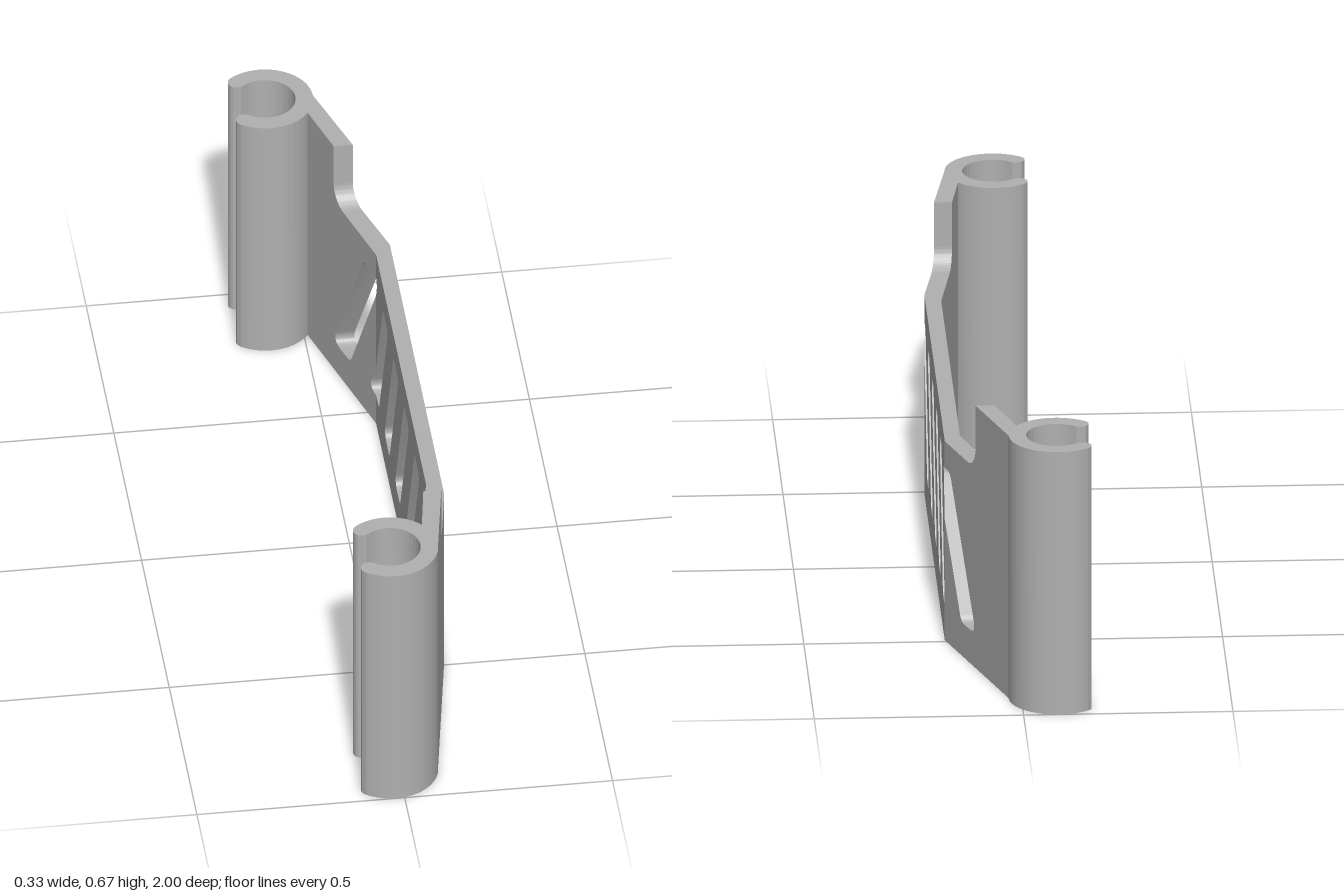
import * as THREE from 'three';
import { toCreasedNormals } from 'three/addons/utils/BufferGeometryUtils.js';

const HEIGHT = 0.67;

// Wall faces in plan: flat in the middle, bent towards -x at both ends
const outerX = z => 0.163 - 0.17 * Math.max(0, z - 0.49) - 0.337 * Math.max(0, -z - 0.49);
const innerX = z => 0.125 - 0.16 * Math.max(0, z - 0.445) - 0.32 * Math.max(0, -z - 0.455);
const BENDS = [-0.49, -0.455, 0.445, 0.49];

// Slanted slot with rounded corners; u runs along -z
function slot(offset) {
  const corners = [[-0.52, 0.44], [-0.358, 0.085], [-0.267, 0.085], [-0.428, 0.44]]
    .map(([u, v]) => new THREE.Vector2(u + offset, v));
  const cut = [0.04, 0.017, 0.04, 0.017];
  const path = new THREE.Path();
  corners.forEach((c, i) => {
    const toward = p => p.clone().sub(c).setLength(cut[i]).add(c);
    const a = toward(corners[(i + 3) % 4]), b = toward(corners[(i + 1) % 4]);
    if (i) path.lineTo(a.x, a.y); else path.moveTo(a.x, a.y);
    path.quadraticCurveTo(c.x, c.y, b.x, b.y);
  });
  path.closePath();
  return path;
}

// Cut triangles along the vertical line u = value so the wall can fold there
function splitAt(triangles, value) {
  const result = [];
  for (const tri of triangles) {
    for (const side of [1, -1]) {
      const poly = [];
      tri.forEach((p, i) => {
        const q = tri[(i + 1) % 3];
        const dp = (p.x - value) * side, dq = (q.x - value) * side;
        if (dp >= 0) poly.push(p);
        if (dp * dq < 0) {
          // always interpolate from the same end so shared edges match
          const [s, e] = p.x < q.x ? [p, q] : [q, p];
          poly.push(s.clone().lerp(e, (value - s.x) / (e.x - s.x)).setX(value));
        }
      });
      if (poly.every(p => p.x === value)) continue;
      for (let i = 1; i + 1 < poly.length; i++) result.push([poly[0], poly[i], poly[i + 1]]);
    }
  }
  return result;
}

function wallGeometry() {
  // Side outline with a lowered, filleted middle
  const low = 0.508, notch = 0.68, r = 0.05;
  const shape = new THREE.Shape();
  shape.moveTo(-0.89, 0);
  shape.lineTo(0.885, 0);
  shape.lineTo(0.885, HEIGHT);
  shape.lineTo(notch, HEIGHT);
  shape.lineTo(notch, low + r);
  shape.absarc(notch - r, low + r, r, 0, -Math.PI / 2, true);
  shape.lineTo(-notch + r, low);
  shape.absarc(-notch + r, low + r, r, -Math.PI / 2, -Math.PI, true);
  shape.lineTo(-notch, HEIGHT);
  shape.lineTo(-0.89, HEIGHT);
  shape.closePath();
  for (let i = 0; i < 6; i++) shape.holes.push(slot(i * 0.19));

  const flat = new THREE.ExtrudeGeometry(shape, { depth: 1, bevelEnabled: false, curveSegments: 28 });
  const pos = flat.attributes.position;
  let triangles = [];
  for (let i = 0; i < pos.count; i += 3) {
    triangles.push([0, 1, 2].map(k => new THREE.Vector3().fromBufferAttribute(pos, i + k)));
  }
  for (const z of BENDS) triangles = splitAt(triangles, -z);

  // Fold: depth goes from the inner face to the outer face
  const points = triangles.flat().map(p =>
    new THREE.Vector3(THREE.MathUtils.lerp(innerX(-p.x), outerX(-p.x), p.z), p.y, -p.x));
  return toCreasedNormals(new THREE.BufferGeometry().setFromPoints(points), 0.13);
}

// C-shaped snap clip with rounded lips, open towards -x
function clipGeometry() {
  const outer = 0.115, inner = 0.073, mid = (outer + inner) / 2, lip = (outer - inner) / 2;
  const a = THREE.MathUtils.degToRad(128.5);
  const shape = new THREE.Shape();
  shape.absarc(0, 0, outer, -a, a, false);
  shape.absarc(mid * Math.cos(a), mid * Math.sin(a), lip, a, a + Math.PI, false);
  shape.absarc(0, 0, inner, a, -a, true);
  shape.absarc(mid * Math.cos(a), -mid * Math.sin(a), lip, Math.PI - a, 2 * Math.PI - a, false);
  const geo = new THREE.ExtrudeGeometry(shape, { depth: HEIGHT, bevelEnabled: false, curveSegments: 40 });
  geo.rotateX(-Math.PI / 2);
  return toCreasedNormals(geo, 0.5);
}

export function createModel() {
  const group = new THREE.Group();
  group.name = 'clipOnGuard';
  const grey = new THREE.MeshStandardMaterial({ color: 0xb0b0b0 });
  grey.name = 'grey';

  // Slotted, bent wall
  const wall = new THREE.Mesh(wallGeometry(), grey);
  wall.name = 'slottedWall';
  group.add(wall);

  // Clips at both ends
  const clip = clipGeometry();
  for (const [name, x, z] of [['frontClip', -0.02, 0.885], ['rearClip', -0.085, -0.885]]) {
    const mesh = new THREE.Mesh(clip, grey);
    mesh.name = name;
    mesh.position.set(x, 0, z);
    group.add(mesh);
  }
  return group;
}
